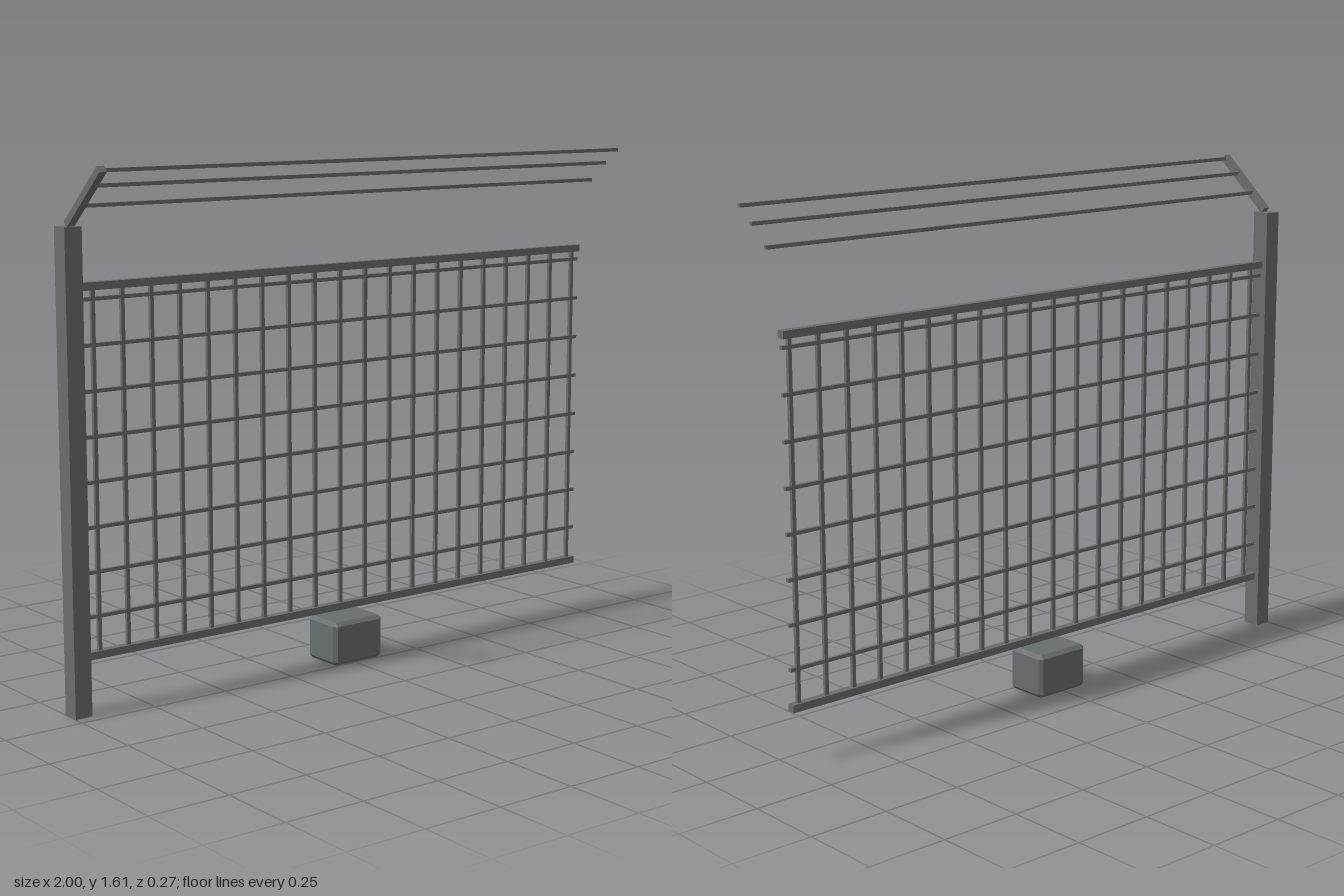
import * as THREE from 'three';
import { ConvexGeometry } from 'three/addons/geometries/ConvexGeometry.js';

export function createModel() {
  const group = new THREE.Group();
  const steel = new THREE.MeshStandardMaterial({ color: 0x6a6c6d });
  steel.name = 'grey steel';
  const concrete = new THREE.MeshStandardMaterial({ color: 0x686d70 });
  concrete.name = 'grey concrete';
  const planeZ = -0.065;

  const add = (name, geometry, material, x, y, z, parent = group) => {
    const mesh = new THREE.Mesh(geometry, material);
    mesh.name = name;
    mesh.position.set(x, y, z);
    parent.add(mesh);
    return mesh;
  };
  const bar = (name, w, h, d, x, y, z, parent) =>
    add(name, new THREE.BoxGeometry(w, h, d), steel, x, y, z, parent);

  // Square end post
  bar('post', 0.056, 1.43, 0.058, -0.972, 0.715, planeZ);

  // Top and bottom rails run from the post to the open end
  for (const [name, y] of [['topRail', 1.257], ['bottomRail', 0.175]]) {
    bar(name, 1.95, 0.023, 0.025, 0.025, y, planeZ);
  }

  // Welded mesh between the rails
  const mesh = new THREE.Group();
  mesh.name = 'meshPanel';
  group.add(mesh);
  for (let i = 0; i < 20; i++) {
    bar('verticalWire', 0.012, 1.08, 0.011, -0.898 + i * 0.0985, 0.716, planeZ, mesh);
  }
  for (let i = 0; i < 8; i++) {
    bar('horizontalWire', 1.95, 0.011, 0.011, 0.025, 1.22 - i * 0.1329, planeZ, mesh);
  }

  // Arm leaning forward from the post top
  const start = new THREE.Vector2(-0.059, 1.435);
  const end = new THREE.Vector2(0.125, 1.598);
  const dir = end.clone().sub(start);
  const arm = bar('topArm', 0.024, 0.022, dir.length(), -0.972,
    (start.y + end.y) / 2, (start.x + end.x) / 2);
  arm.rotation.x = -Math.atan2(dir.y, dir.x);

  // Three strands carried by the arm
  for (const [y, z] of [[1.49, -0.004], [1.549, 0.061], [1.594, 0.117]]) {
    bar('strand', 1.97, 0.011, 0.011, 0.015, y, z);
  }

  // Footing block with chamfered edges
  const [hx, hy, hz, c] = [0.096, 0.07, 0.072, 0.012];
  const corners = [];
  for (const sx of [-1, 1]) for (const sy of [-1, 1]) for (const sz of [-1, 1]) {
    corners.push(
      new THREE.Vector3(sx * hx, sy * (hy - c), sz * (hz - c)),
      new THREE.Vector3(sx * (hx - c), sy * hy, sz * (hz - c)),
      new THREE.Vector3(sx * (hx - c), sy * (hy - c), sz * hz));
  }
  add('footingBlock', new ConvexGeometry(corners), concrete, 0.011, hy, -0.067);

  return group;
}
